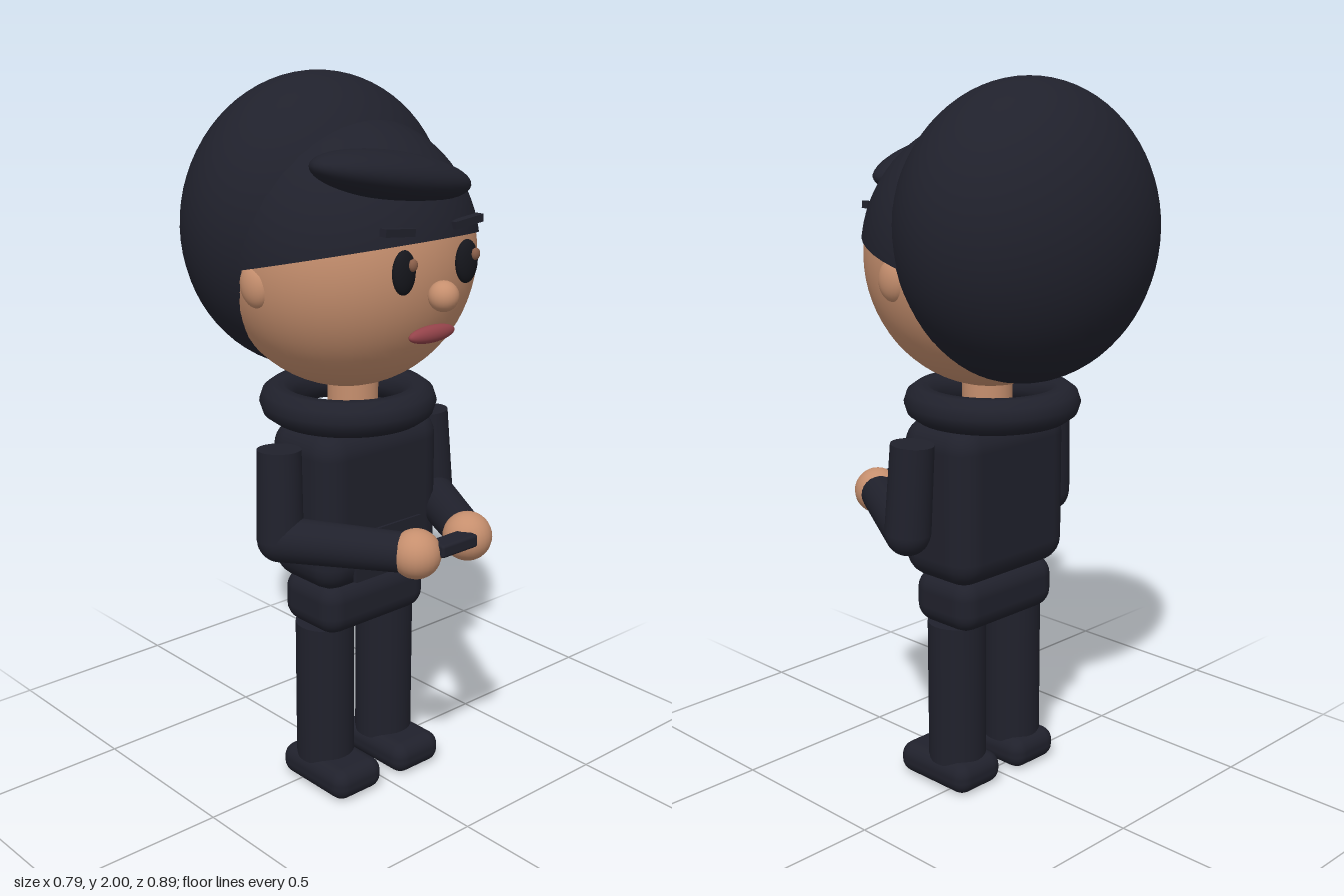
import * as THREE from 'three';
import { RoundedBoxGeometry } from 'three/addons/geometries/RoundedBoxGeometry.js';

export function createModel() {
  const model = new THREE.Group();
  const mat = (name, color, side = THREE.FrontSide) => {
    const m = new THREE.MeshStandardMaterial({ color, side });
    m.name = name;
    return m;
  };
  const skin = mat('skin', 0xc68f6e);
  const hair = mat('hair', 0x20212c, THREE.DoubleSide);
  const cloth = mat('cloth', 0x20212c);
  const black = mat('eye black', 0x15161c);
  const brown = mat('eye glint', 0x8a5f4a);
  const red = mat('lips', 0x94434a);

  const add = (name, geo, material, x, y, z, parent = model) => {
    const m = new THREE.Mesh(geo, material);
    m.name = name;
    m.position.set(x, y, z);
    parent.add(m);
    return m;
  };
  const ellipsoid = (rx, ry, rz, seg = 32) => new THREE.SphereGeometry(1, seg, seg * 0.75).scale(rx, ry, rz);
  const box = (w, h, d, r, seg = 3) => new RoundedBoxGeometry(w, h, d, seg, r);

  // Cylinder running between two points
  const limb = (name, a, b, ra, rb, parent) => {
    const p = new THREE.Vector3(...a), q = new THREE.Vector3(...b);
    const dir = q.clone().sub(p);
    const m = add(name, new THREE.CylinderGeometry(rb, ra, dir.length(), 24), cloth, 0, 0, 0, parent);
    m.position.copy(p).add(q).multiplyScalar(0.5);
    m.quaternion.setFromUnitVectors(new THREE.Vector3(0, 1, 0), dir.normalize());
    return m;
  };

  // Head and hair
  add('head', ellipsoid(0.355, 0.36, 0.335, 48), skin, 0, 1.533, 0);
  add('backHair', ellipsoid(0.395, 0.4, 0.315, 48), hair, 0, 1.6, -0.13);
  const cap = new THREE.SphereGeometry(1, 48, 20, 0, Math.PI * 2, 0, Math.PI / 2);
  cap.rotateX(-0.22).scale(0.362, 0.367, 0.343);
  add('frontHair', cap, hair, 0, 1.533, 0);
  const fringe = add('fringe', ellipsoid(0.26, 0.062, 0.112), hair, -0.065, 1.77, 0.243);
  fringe.rotation.z = -0.18;

  // Face
  add('nose', ellipsoid(0.04, 0.04, 0.04, 24), skin, 0, 1.475, 0.365);
  add('mouth', ellipsoid(0.08, 0.023, 0.02, 24), red, 0, 1.37, 0.325);
  for (const s of [-1, 1]) {
    add('eye', ellipsoid(0.036, 0.057, 0.02, 24), black, s * 0.11, 1.545, 0.335);
    add('eyeGlint', ellipsoid(0.014, 0.016, 0.01, 12), brown, s * 0.11 + 0.013, 1.565, 0.354);
    const brow = add('eyebrow', new THREE.BoxGeometry(0.1, 0.02, 0.024), hair, s * 0.12, 1.645, 0.322);
    brow.rotation.z = s * 0.1;
    const ear = add('ear', ellipsoid(0.035, 0.06, 0.05, 24), skin, s * 0.332, 1.495, 0.025);
    ear.rotation.x = -0.2;
  }

  // Torso
  add('neck', new THREE.CylinderGeometry(0.07, 0.07, 0.25, 24), skin, 0, 1.13, 0.02);
  const collar = new THREE.TorusGeometry(0.195, 0.05, 10, 40).rotateX(Math.PI / 2);
  add('collar', collar, cloth, 0, 1.125, 0);
  add('torso', box(0.435, 0.46, 0.27, 0.075), cloth, 0, 0.86, 0.03);
  add('frontPocket', new THREE.BoxGeometry(0.24, 0.14, 0.012), cloth, 0, 0.73, 0.166);
  add('hips', box(0.375, 0.155, 0.222, 0.055), cloth, 0, 0.568, 0.03);

  // Legs, shoes, arms and hands
  for (const s of [-1, 1]) {
    const side = new THREE.Group();
    side.name = s > 0 ? 'leftLimbs' : 'rightLimbs';
    model.add(side);
    add('leg', new THREE.CylinderGeometry(0.083, 0.083, 0.42, 28), cloth, s * 0.113, 0.29, 0.03, side);
    add('shoe', box(0.172, 0.092, 0.27, 0.04), cloth, s * 0.114, 0.05, 0.06, side);
    const elbow = [s * 0.282, 0.795, 0.045];
    limb('upperArm', elbow, [s * 0.272, 1.045, 0.033], 0.064, 0.06, side);
    add('elbow', ellipsoid(0.063, 0.063, 0.063, 24), cloth, ...elbow, side);
    limb('forearm', elbow, [s * 0.11, 0.805, 0.355], 0.063, 0.054, side);
    add('hand', ellipsoid(0.067, 0.067, 0.067, 24), skin, s * 0.095, 0.805, 0.378, side);
  }

  // Small device held between the hands
  add('handheldDevice', box(0.13, 0.036, 0.06, 0.008, 2), cloth, 0, 0.82, 0.418);

  return model;
}
